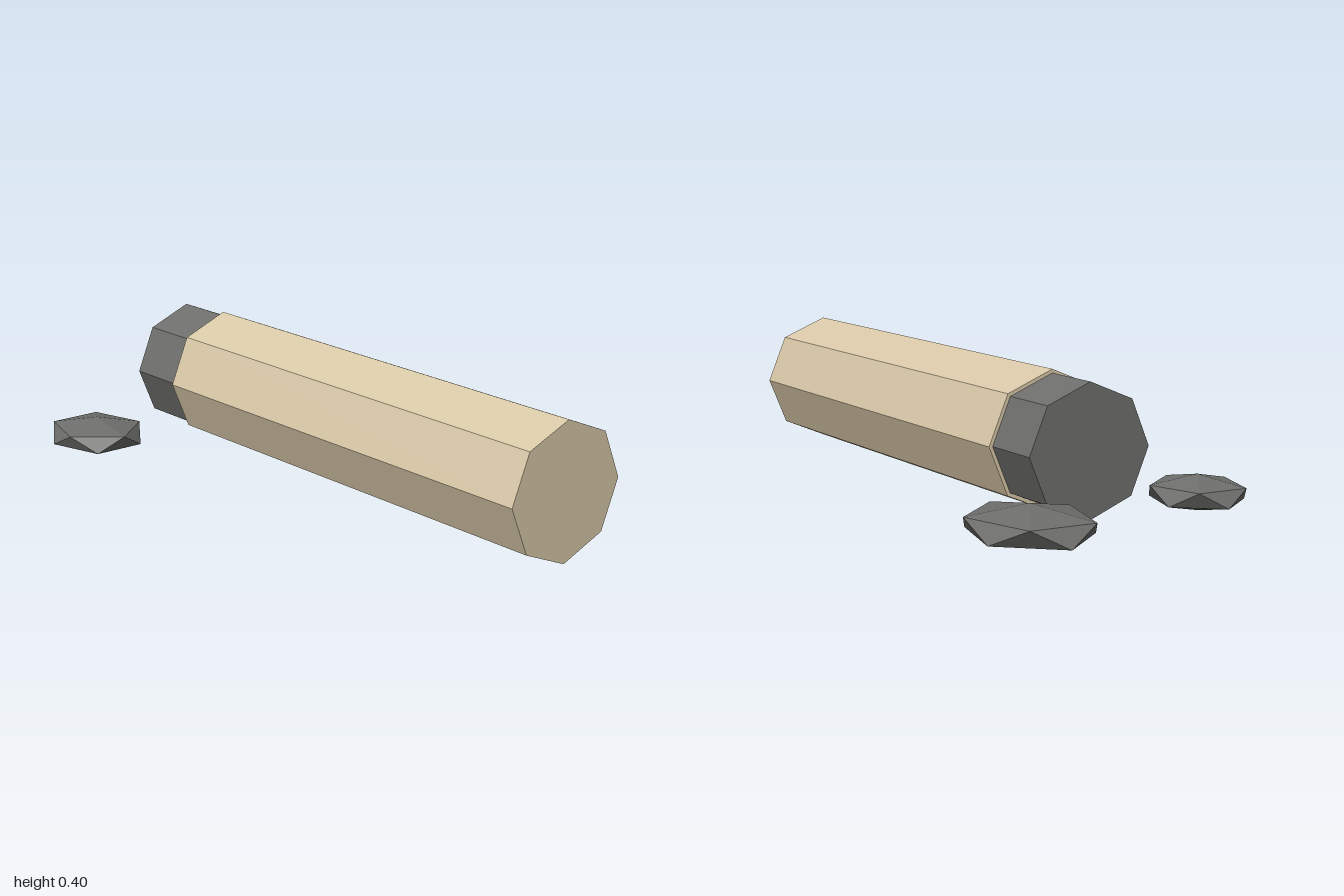
import * as THREE from 'three';

const wood = new THREE.MeshStandardMaterial({ color: 0xd8c8a8, flatShading: true });
const char = new THREE.MeshStandardMaterial({ color: 0x6e6e6c, flatShading: true });

export function createModel() {
  const group = new THREE.Group();

  const add = (name, geometry, material, x, y, z) => {
    const mesh = new THREE.Mesh(geometry, material);
    mesh.name = name;
    mesh.position.set(x, y, z);
    group.add(mesh);
    return mesh;
  };

  // Eight-sided bar lying along x, with an edge at the top
  const bar = (name, material, radius, x0, x1) => {
    const geometry = new THREE.CylinderGeometry(radius, radius, x1 - x0, 8).rotateZ(Math.PI / 2);
    add(name, geometry, material, (x0 + x1) / 2, 0.207, -0.042);
  };
  bar('log', wood, 0.199, -0.47, 1);
  bar('charredEnd', char, 0.188, -0.663, -0.47);

  // Flattened icosahedron standing on one corner, a second-ring corner toward +x
  const coal = (name, x, y, z, rx, ry, rz) => {
    const geometry = new THREE.IcosahedronGeometry(1, 0)
      .rotateX(-Math.atan((1 + Math.sqrt(5)) / 2))
      .rotateY(Math.PI / 2);
    add(name, geometry, char, x, y, z).scale.set(rx, ry, rz);
  };
  coal('largeCoal', -0.795, 0.06, -0.307, 0.229, 0.0575, 0.188);
  coal('smallCoal', -0.62, 0.053, 0.34, 0.168, 0.0515, 0.15);

  return group;
}
